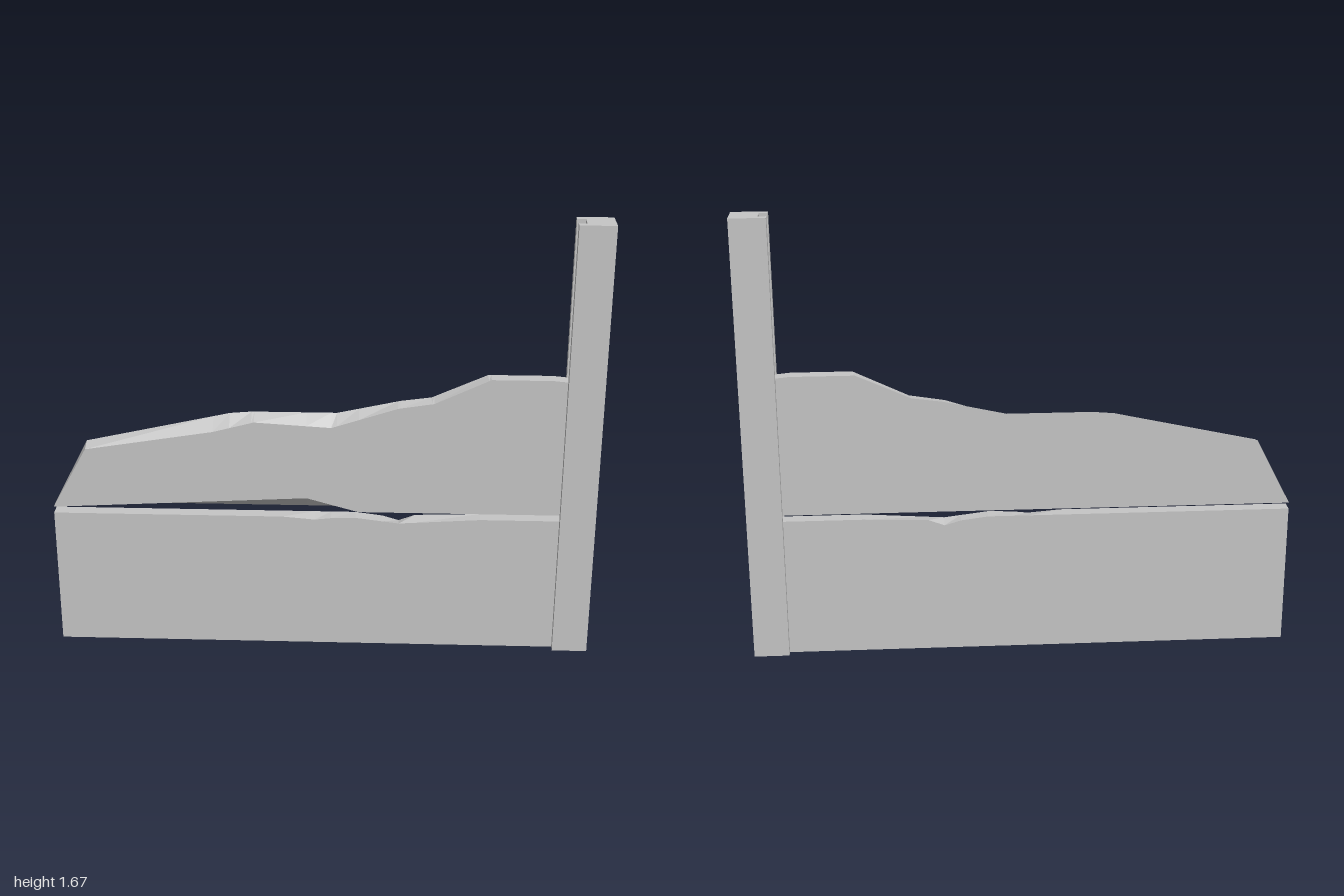
import * as THREE from 'three';

const HALF = 0.025; // half thickness of the boards

// Height of a polyline of [x, y] points at x
function heightAt(line, x) {
  for (let i = 1; i < line.length; i++) {
    const [x0, y0] = line[i - 1], [x1, y1] = line[i];
    if (x <= x1) return y0 + (y1 - y0) * (x - x0) / (x1 - x0);
  }
  return line[line.length - 1][1];
}

// Board whose front and back faces have their own worn upper and lower edges
function boardGeometry({ topFront, topBack, bottomFront, bottomBack }) {
  const lines = [topFront, topBack, bottomFront, bottomBack];
  const xs = [...new Set(lines.flat().map((p) => p[0]))].sort((a, b) => a - b);
  const sections = xs.map((x) => [
    [x, heightAt(bottomFront, x), HALF],
    [x, heightAt(topFront, x), HALF],
    [x, heightAt(topBack, x), -HALF],
    [x, heightAt(bottomBack, x), -HALF],
  ]);
  const pos = [];
  const quad = (a, b, c, d) => pos.push(...a, ...b, ...c, ...a, ...c, ...d);
  for (let i = 0; i + 1 < sections.length; i++) {
    const l = sections[i], r = sections[i + 1];
    for (let k = 0; k < 4; k++) {
      const n = (k + 1) % 4;
      quad(l[k], r[k], r[n], l[n]);
    }
  }
  const first = sections[0], last = sections[sections.length - 1];
  quad(first[3], first[0], first[1], first[2]);
  quad(last[0], last[3], last[2], last[1]);
  const geo = new THREE.BufferGeometry();
  geo.setAttribute('position', new THREE.Float32BufferAttribute(pos, 3));
  geo.computeVertexNormals();
  return geo;
}

export function createModel() {
  const group = new THREE.Group();
  const material = new THREE.MeshStandardMaterial({ color: 0xc5c5c5 });
  material.name = 'concrete grey';
  const add = (name, geometry) => {
    const mesh = new THREE.Mesh(geometry, material);
    mesh.name = name;
    group.add(mesh);
  };

  // Post with a full-height groove that holds the boards
  const plan = new THREE.Shape([
    [0.87, -0.052], [1, -0.052], [1, 0.052], [0.87, 0.052],
    [0.87, HALF], [0.9, HALF], [0.9, -HALF], [0.87, -HALF],
  ].map(([x, z]) => new THREE.Vector2(x, z)));
  const post = new THREE.ExtrudeGeometry(plan, { depth: 1.666, bevelEnabled: false });
  post.rotateX(-Math.PI / 2);
  add('post', post);

  // Lower board with chipped upper edge
  const ground = [[-1, 0], [0.9, 0]];
  add('lowerBoard', boardGeometry({
    topFront: [[-1, 0.533], [-0.15, 0.533], [-0.03, 0.523], [0.03, 0.53], [0.12, 0.533],
      [0.28, 0.513], [0.58, 0.533], [0.9, 0.533]],
    topBack: [[-1, 0.533], [0.12, 0.533], [0.22, 0.52], [0.28, 0.502], [0.34, 0.525],
      [0.58, 0.533], [0.9, 0.533]],
    bottomFront: ground,
    bottomBack: ground,
  }));

  // Broken upper board, chipped underneath along the front
  add('upperBoard', boardGeometry({
    topFront: [[-1, 0.557], [-0.87, 0.793], [-0.4, 0.87], [-0.25, 0.91], [0.03, 0.893],
      [0.27, 0.972], [0.4, 0.993], [0.6, 1.088], [0.82, 1.088], [0.9, 1.08]],
    topBack: [[-1, 0.557], [-0.87, 0.807], [-0.34, 0.925], [-0.26, 0.932], [0.05, 0.932],
      [0.28, 0.983], [0.39, 0.998], [0.59, 1.088], [0.82, 1.088], [0.9, 1.08]],
    bottomFront: [[-1, 0.557], [-0.06, 0.61], [0.13, 0.557], [0.9, 0.557]],
    bottomBack: [[-1, 0.557], [0.9, 0.557]],
  }));

  return group;
}
